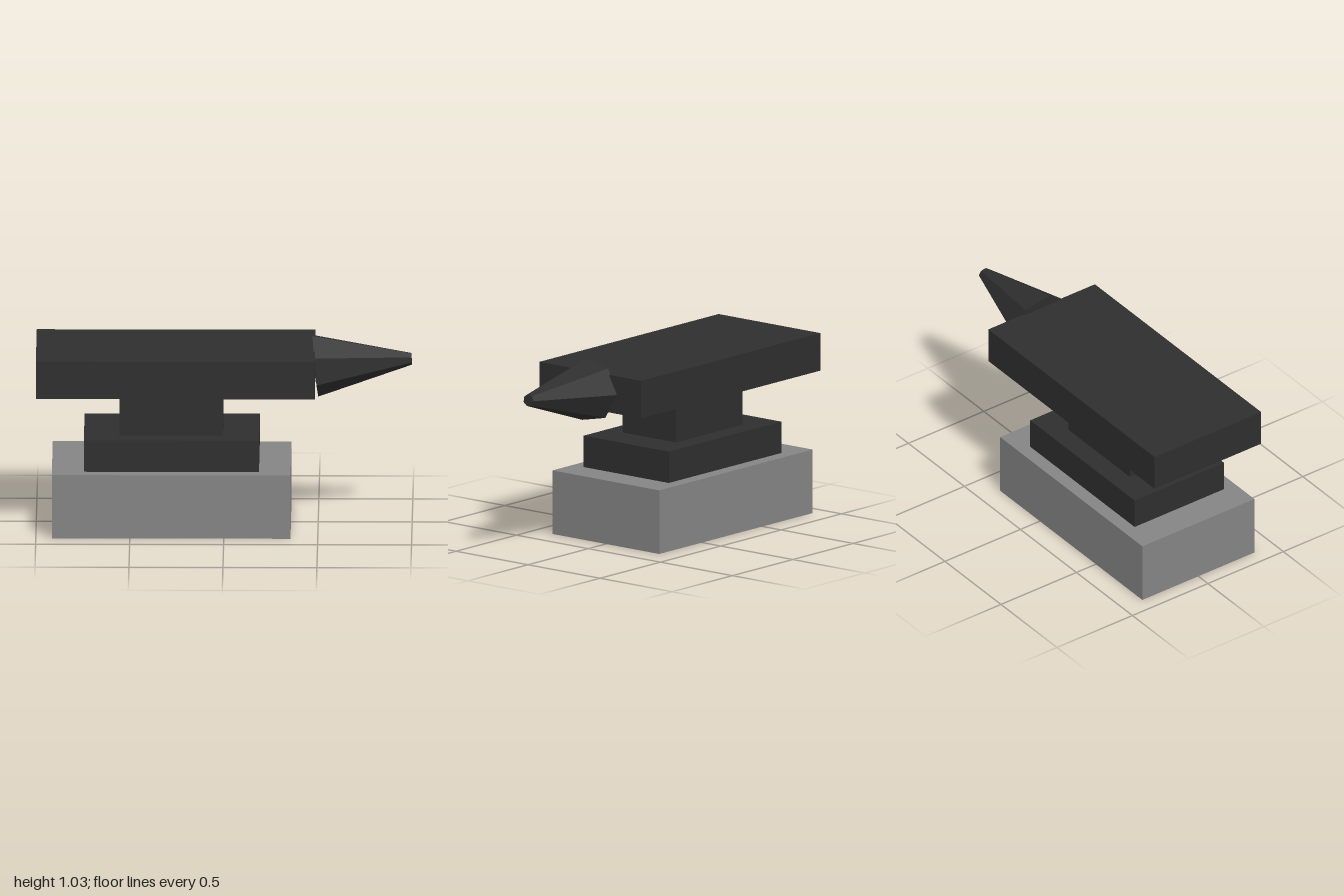
import * as THREE from 'three';

export function createModel() {
  const model = new THREE.Group();
  model.name = 'anvil';

  const iron = new THREE.MeshStandardMaterial({ color: 0x2e2e2e, flatShading: true });
  iron.name = 'dark iron';
  const stone = new THREE.MeshStandardMaterial({ color: 0x848484, flatShading: true, side: THREE.DoubleSide });
  stone.name = 'grey stone';

  // Box from its extents along x and y, centred on z
  function block(name, x0, x1, y0, y1, depth, material) {
    const geometry = new THREE.BoxGeometry(x1 - x0, y1 - y0, depth);
    geometry.translate((x0 + x1) / 2, (y0 + y1) / 2, 0);
    const mesh = new THREE.Mesh(geometry, material);
    mesh.name = name;
    model.add(mesh);
    return mesh;
  }

  // Plinth: a hollow box, open underneath
  const plinth = block('plinth', -0.915, 0.355, 0, 0.347, 0.742, stone);
  const faces = Array.from(plinth.geometry.index.array);
  faces.splice(18, 6); // bottom face
  plinth.geometry.setIndex(faces);
  plinth.geometry.clearGroups();

  // Stepped iron body
  block('foot', -0.745, 0.187, 0.347, 0.518, 0.592, iron);
  block('waist', -0.555, -0.005, 0.518, 0.76, 0.37, iron);
  block('face', -1, 0.484, 0.76, 0.965, 0.706, iron);

  // Horn: seven-sided taper, tilted slightly upwards
  const hornGeometry = new THREE.CylinderGeometry(0.19, 1, 1, 7);
  hornGeometry.translate(0, 0.5, 0);
  hornGeometry.applyMatrix4(new THREE.Matrix4().makeBasis(
    new THREE.Vector3(-0.0157, 0.17, 0),
    new THREE.Vector3(0.512, 0.034, 0),
    new THREE.Vector3(0, 0, -0.185)
  ).setPosition(0.485, 0.863, 0));
  const horn = new THREE.Mesh(hornGeometry, iron);
  horn.name = 'horn';
  model.add(horn);

  return model;
}
